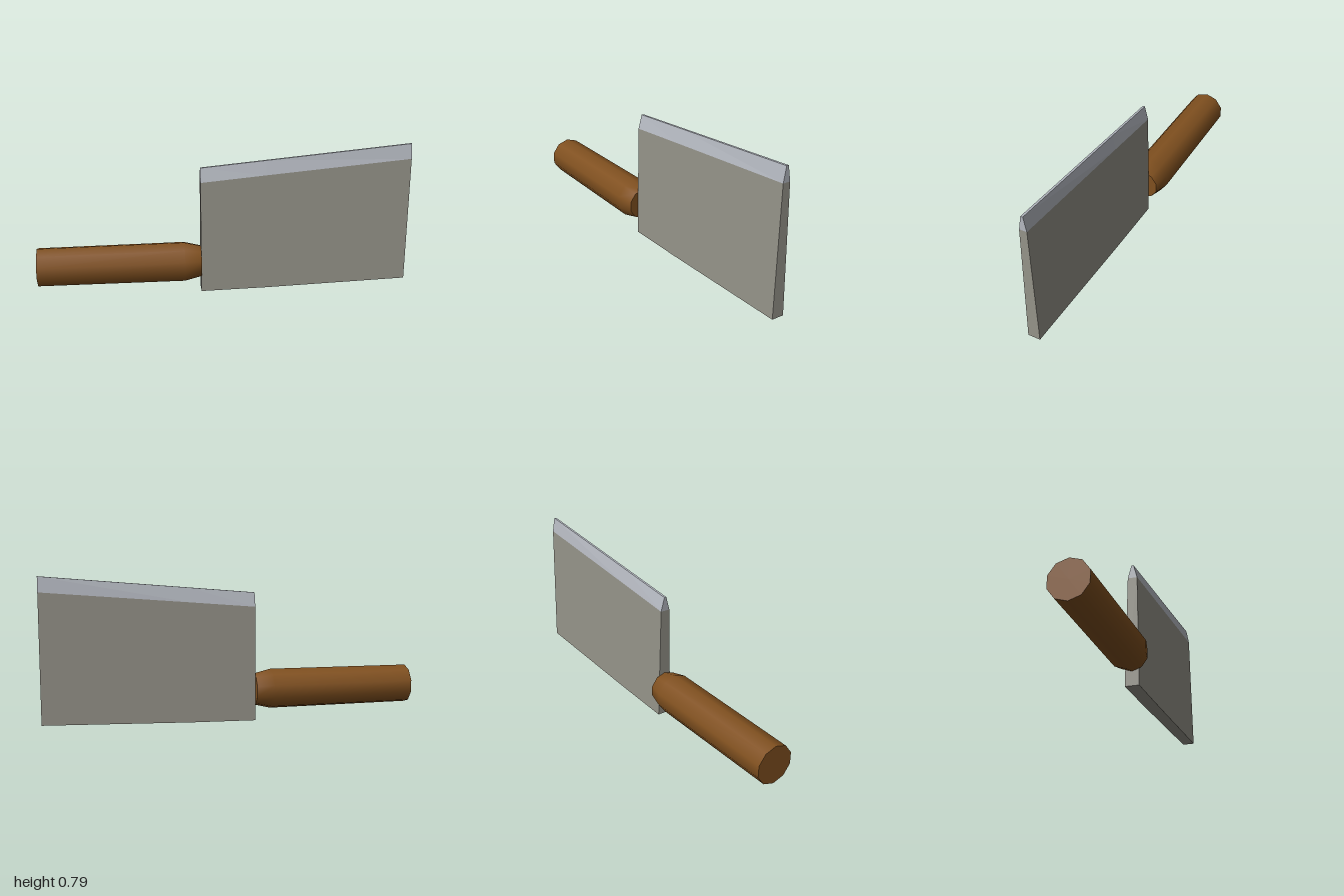
import * as THREE from 'three';

// Lofts four-sided sections [x, yLow, halfLow, yHigh, halfHigh] along x, with both ends closed.
function loft(sections) {
  const rings = sections.map(([x, y0, h0, y1, h1]) => [
    [x, y0, h0], [x, y0, -h0], [x, y1, -h1], [x, y1, h1],
  ]);
  const pos = [];
  const quad = (a, b, c, d) => pos.push(...a, ...b, ...c, ...a, ...c, ...d);
  for (let i = 0; i < rings.length - 1; i++) {
    const p = rings[i], q = rings[i + 1];
    for (let j = 0; j < 4; j++) {
      const k = (j + 1) % 4;
      quad(p[j], p[k], q[k], q[j]);
    }
  }
  const first = rings[0], last = rings[rings.length - 1];
  quad(first[3], first[2], first[1], first[0]);
  quad(...last);
  const geo = new THREE.BufferGeometry();
  geo.setAttribute('position', new THREE.Float32BufferAttribute(pos, 3));
  geo.computeVertexNormals();
  return geo;
}

export function createModel() {
  const group = new THREE.Group();
  const add = (name, geometry, color, flatShading = false) => {
    const mesh = new THREE.Mesh(geometry, new THREE.MeshStandardMaterial({ color, flatShading }));
    mesh.name = name;
    group.add(mesh);
    return mesh;
  };

  // Blade body: thick along the bottom spine, thinner toward the cutting edge
  add('bladeBody', loft([
    [-0.13, 0, 0.038, 0.615, 0.026],
    [0.22, 0.005, 0.037, 0.645, 0.024],
    [1, 0.025, 0.033, 0.71, 0.02],
  ]), 0x96948a, true);

  // Ground bevel along the upper edge
  add('cuttingEdge', loft([
    [-0.13, 0.615, 0.026, 0.69, 0.006],
    [0.22, 0.645, 0.024, 0.721, 0.006],
    [1, 0.71, 0.02, 0.79, 0.006],
  ]), 0xb4b8c0, true);

  // Ten-sided handle with a tapered collar, turned to lie along x
  const profile = [[0.104, -1], [0.108, -0.22], [0.086, -0.13]].map(([r, x]) => new THREE.Vector2(r, x));
  const handle = add('handle', new THREE.LatheGeometry(profile, 10, Math.PI / 2).rotateZ(-Math.PI / 2), 0x80501f);
  handle.position.y = 0.165;

  // Flat handle ends
  for (const [name, x, r, side] of [['handleButt', -1, 0.104, -1], ['handleCollarEnd', -0.13, 0.086, 1]]) {
    const cap = add(name, new THREE.CircleGeometry(r, 10, Math.PI / 2).rotateY(side * Math.PI / 2), 0x80501f);
    cap.position.set(x, 0.165, 0);
  }
  return group;
}
